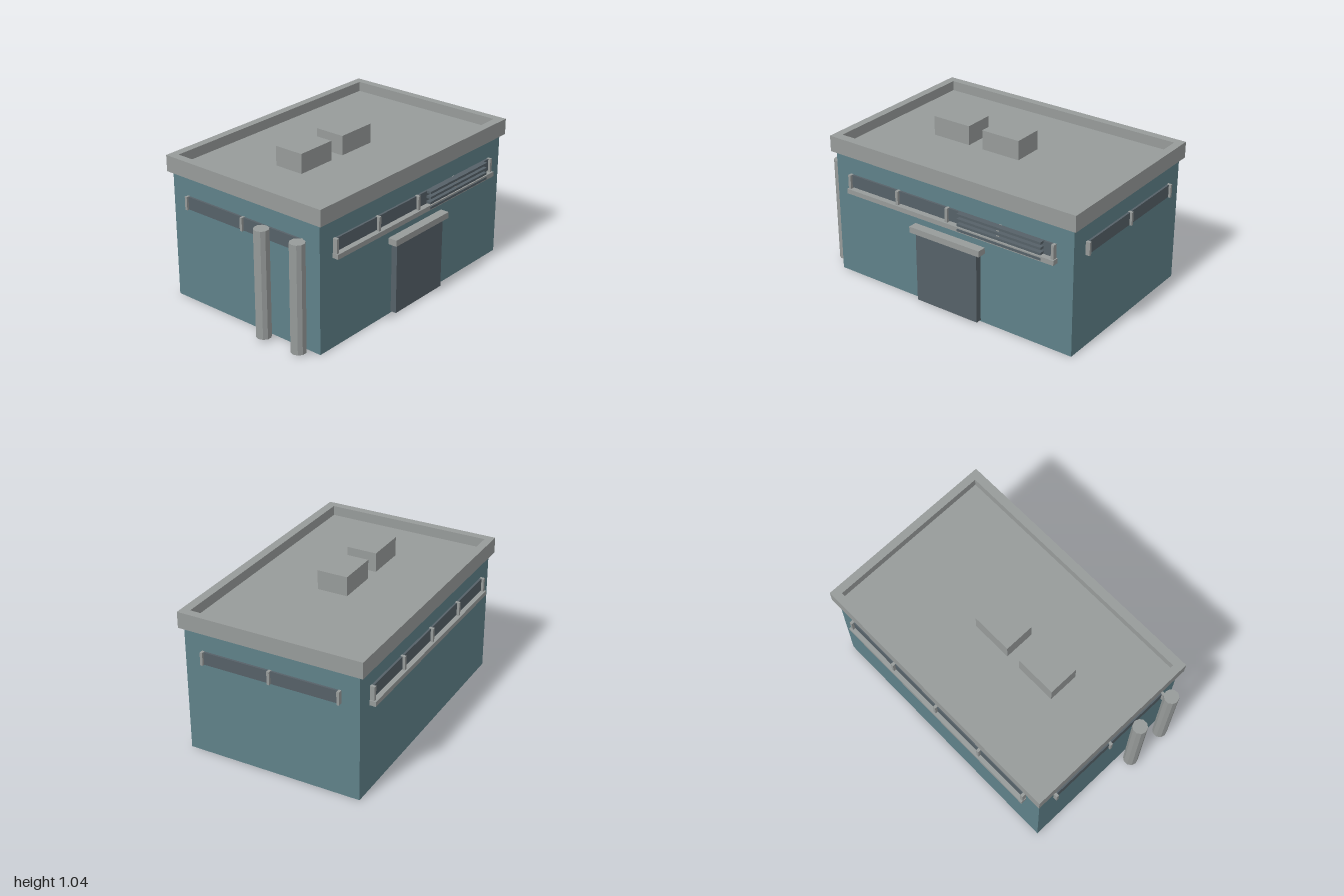
import * as THREE from 'three';

export function createModel() {
  const model = new THREE.Group();
  model.name = 'building';
  const material = (name, color) => {
    const m = new THREE.MeshStandardMaterial({ color });
    m.name = name;
    return m;
  };
  const teal = material('teal wall', 0x5f8189);
  const grey = material('light grey trim', 0x979b9a);
  const dark = material('dark grey glass', 0x566168);

  const add = (name, geometry, mat) => {
    const mesh = new THREE.Mesh(geometry, mat);
    mesh.name = name;
    model.add(mesh);
    return mesh;
  };
  // Box given by its limits on each axis
  const box = (name, mat, x0, x1, y0, y1, z0, z1) =>
    add(name, new THREE.BoxGeometry(x1 - x0, y1 - y0, z1 - z0), mat)
      .position.set((x0 + x1) / 2, (y0 + y1) / 2, (z0 + z1) / 2);

  const wall = { left: -0.88, right: 0.97, back: -0.617, front: 0.598 };
  box('walls', teal, wall.left, wall.right, 0, 0.87, wall.back, wall.front);

  // Parapet ring, with the roof deck sunk inside it
  const rect = (target, x0, x1, z0, z1) =>
    target.moveTo(x0, -z1).lineTo(x1, -z1).lineTo(x1, -z0).lineTo(x0, -z0).closePath();
  const ring = rect(new THREE.Shape(), -0.905, 0.995, -0.648, 0.626);
  ring.holes.push(rect(new THREE.Path(), -0.85, 0.94, -0.593, 0.566));
  const parapet = new THREE.ExtrudeGeometry(ring, { depth: 0.11, bevelEnabled: false });
  parapet.rotateX(-Math.PI / 2);
  add('parapet', parapet, grey).position.y = 0.87;
  box('roofDeck', grey, -0.85, 0.94, 0.871, 0.912, -0.593, 0.566);

  // Rooftop units
  for (const x of [-0.467, -0.075]) box('roofUnit', grey, x, x + 0.285, 0.912, 1.045, -0.117, 0.094);

  // Long window bands on the front and back, with mullions and a sill
  for (const [z, s] of [[wall.front, 1], [wall.back, -1]]) {
    const band = (name, mat, x0, x1, y0, y1, depth) =>
      box(name, mat, x0, x1, y0, y1, Math.min(z, z + s * depth), Math.max(z, z + s * depth));
    band('windowGlass', dark, -0.75, 0.84, 0.652, 0.738, 0.014);
    for (let i = 0; i < 5; i++) {
      const x = -0.752 + i * 0.3975;
      band('windowMullion', grey, x - 0.01, x + 0.01, 0.645, 0.74, 0.031);
    }
    band('windowSill', grey, -0.765, 0.855, 0.612, 0.645, 0.043);
  }

  // Shorter window bands on the two sides
  for (const [x, s] of [[wall.right, 1], [wall.left, -1]]) {
    const band = (name, mat, z0, z1, y0, y1, depth) =>
      box(name, mat, Math.min(x, x + s * depth), Math.max(x, x + s * depth), y0, y1, z0, z1);
    band('sideGlass', dark, -0.485, 0.465, 0.652, 0.738, 0.014);
    for (const z of [-0.485, -0.01, 0.465])
      band('sideMullion', grey, z - 0.009, z + 0.009, 0.65, 0.74, 0.029);
  }

  // Louvre slats over the front window
  for (let i = 0; i < 4; i++) {
    const y = 0.628 + i * 0.035;
    box('louvreSlat', dark, 0.14, 0.765, y - 0.008, y + 0.008, 0.605, 0.645);
  }

  // Door and its canopy
  box('door', dark, -0.195, 0.285, 0.01, 0.5, wall.front - 0.01, 0.64);
  box('doorCanopy', grey, -0.23, 0.32, 0.5, 0.542, wall.front - 0.01, 0.66);

  // Ten-sided standing pipes beside the left-hand end
  for (const z of [0.2, 0.485]) {
    const geometry = new THREE.CylinderGeometry(0.05, 0.05, 0.735, 10).rotateY(Math.PI / 2).toNonIndexed();
    geometry.computeVertexNormals();
    add('pipe', geometry, grey).position.set(-0.95, 0.3825, z);
  }

  return model;
}
